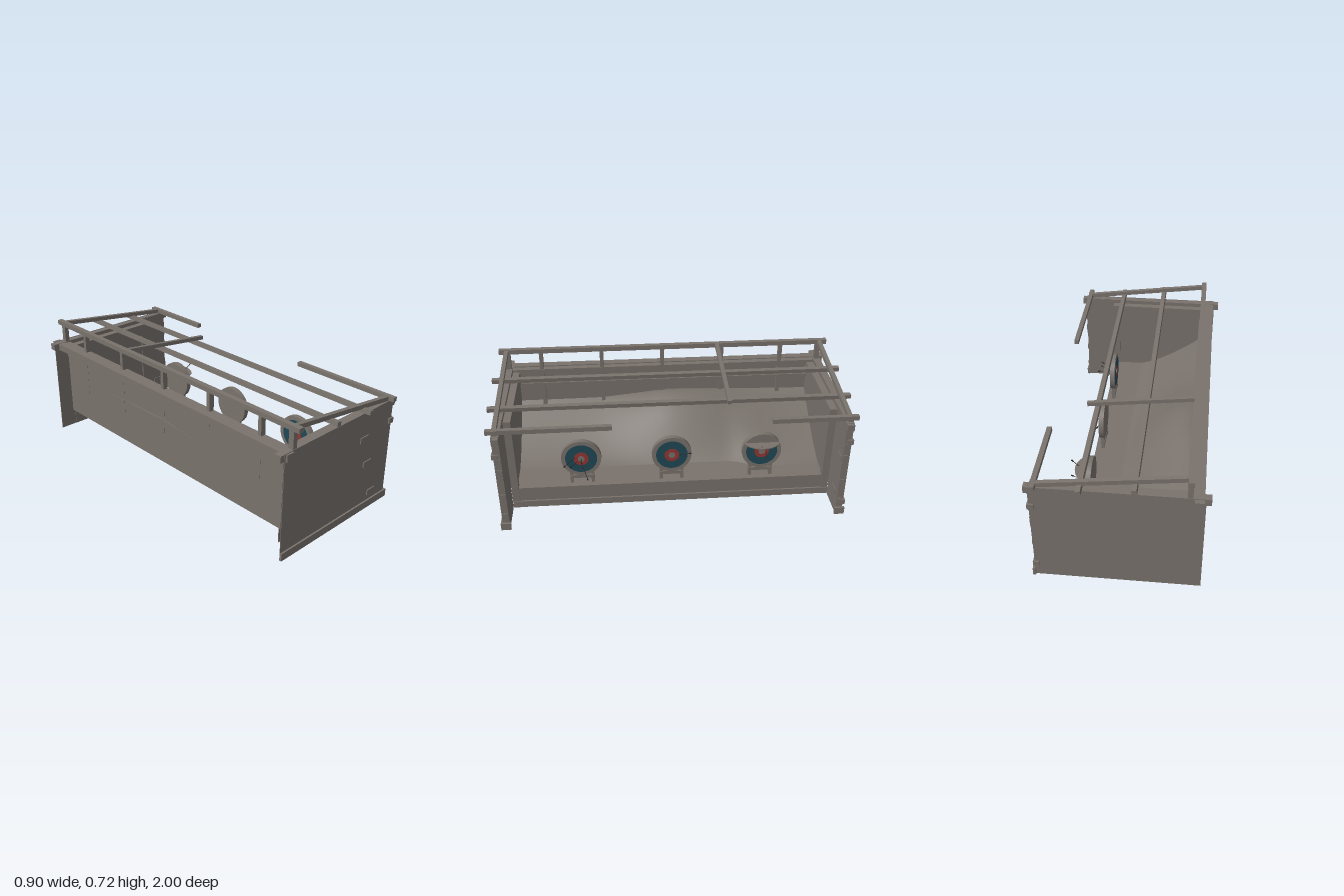
import * as THREE from 'three';

const mat = (name, color, double = false) => {
  const m = new THREE.MeshStandardMaterial({ color });
  m.name = name;
  if (double) m.side = THREE.DoubleSide;
  return m;
};

export function createModel() {
  const model = new THREE.Group();
  model.name = 'archeryRange';
  const wood = mat('weatheredGrey', 0x79726c, true);
  const blue = mat('targetBlue', 0x1f4856);
  const red = mat('targetRed', 0x933632);
  const dark = mat('arrowDark', 0x2b2927);

  const add = (name, geo, m = wood, parent = model) => {
    const mesh = new THREE.Mesh(geo, m);
    mesh.name = name;
    parent.add(mesh);
    return mesh;
  };
  // Box given by its limits on each axis
  const box = (name, x0, x1, y0, y1, z0, z1) => {
    const mesh = add(name, new THREE.BoxGeometry(x1 - x0, y1 - y0, Math.abs(z1 - z0)));
    mesh.position.set((x0 + x1) / 2, (y0 + y1) / 2, (z0 + z1) / 2);
    return mesh;
  };
  // Square beam in the xy plane at depth z, from a to b
  const rafter = (name, ax, ay, bx, by, z, t) => {
    const mesh = add(name, new THREE.BoxGeometry(Math.hypot(bx - ax, by - ay), t, t));
    mesh.position.set((ax + bx) / 2, (ay + by) / 2, z);
    mesh.rotation.z = Math.atan2(by - ay, bx - ax);
  };

  // Hollow end walls: outer and inner skins, front edge, plates and posts
  for (const s of [1, -1]) {
    box('endWallSkin', -0.424, 0.427, 0, 0.6, s * 0.952, s * 0.955);
    box('endWallInnerSkin', 0.24, 0.427, 0, 0.6, s * 0.917, s * 0.92);
    box('endWallFrontEdge', 0.424, 0.427, 0, 0.6, s * 0.92, s * 0.952);
    box('endWallFoot', 0.425, 0.44, 0, 0.043, s * 0.91, s * 0.965);
    box('endWallPlate', -0.45, 0.448, 0.56, 0.598, s * 0.915, s * 0.953);
    box('innerWall', -0.36, 0.2, 0.04, 0.5, s * 0.883, s * 0.886);
    box('innerPost', 0.2, 0.24, 0, 0.575, s * 0.875, s * 0.916);
    box('innerPlate', -0.36, 0.24, 0.5, 0.575, s * 0.875, s * 0.916);
    for (const [y, h] of [[0.45, 0.03], [0.365, 0.06], [0.22, 0.03], [0.09, 0.03]])
      box('edgeStone', 0.41, 0.432, y - h / 2, y + h / 2, s * 0.918, s * 0.945);
    box('frontRailBlock', 0.383, 0.412, 0.598, 0.628, s * 0.925, s * 0.955);
    rafter('endRafter', -0.35, 0.71, 0.4, 0.612, s * 0.94, 0.024);
  }
  box('frontWallBase', -0.424, 0.44, 0, 0.043, 0.955, 0.965);

  // Loose stones standing slightly proud of the walls
  for (const [x, y, z] of [
    [0.195, 0.447, 0.957], [0.24, 0.287, 0.957], [0.3, 0.09, 0.957],
    [0.38, 0.36, -0.917], [0.36, 0.12, -0.917],
  ]) box('faceStone', x - 0.032, x + 0.032, y - 0.016, y + 0.016, z - 0.004, z + 0.004);
  for (const [y, s] of [[0.48, 1], [0.48, -1], [0.08, -1]])
    box('cornerStone', 0.4, 0.435, y - 0.015, y + 0.015, s * 0.93, s * 0.964);

  // Back wall, its rails and the posts carrying the high roof rail
  box('backWall', -0.365, -0.36, 0.13, 0.58, -0.9, 0.9);
  box('backTopRail', -0.417, -0.37, 0.557, 0.596, -0.98, 0.965);
  box('backInnerRail', -0.372, -0.335, 0.56, 0.59, -0.915, 0.915);
  box('backShelf', -0.36, -0.33, 0.48, 0.5, -0.885, 0.885);
  for (const z of [0.74, 0.38, 0.015, -0.345, -0.705])
    box('backPost', -0.366, -0.337, 0.3, 0.7, z - 0.011, z + 0.011);
  for (const z of [0.935, -0.935])
    box('cornerPost', -0.362, -0.336, 0.59, 0.7, z - 0.015, z + 0.015);

  // Open roof frame
  box('highRail', -0.366, -0.337, 0.695, 0.722, -0.985, 0.985);
  for (const [x, y] of [[-0.09, 0.654], [0.174, 0.622]]) {
    const purlin = box('purlin', x - 0.013, x + 0.013, y - 0.012, y + 0.012, -1, 1);
    purlin.rotation.z = -0.13;
  }
  rafter('brokenRafter', -0.35, 0.711, 0.23, 0.639, -0.315, 0.022);
  box('brokenRailLeft', 0.384, 0.41, 0.604, 0.629, 0.33, 0.985);
  box('brokenRailRight', 0.384, 0.41, 0.604, 0.629, -0.52, -0.985);

  // Low front sill: stepped boards and the ledge behind them
  box('sillBase', 0.225, 0.245, 0.005, 0.045, -0.915, 0.915);
  box('sillBoard', 0.225, 0.235, 0.045, 0.13, -0.885, 0.885);
  box('sillLedge', 0.04, 0.235, 0.126, 0.131, -0.885, 0.885);

  // Earth bank: a sheet sloping from the back wall to the ledge, swollen mid-way
  const { lerp, clamp, smoothstep } = THREE.MathUtils;
  const bank = new THREE.PlaneGeometry(1, 1, 20, 40);
  const p = bank.attributes.position;
  for (let i = 0; i < p.count; i++) {
    const u = p.getX(i) + 0.5;
    const z = -p.getY(i) * 1.78;
    const swell = Math.exp(-(((z + 0.1) / (z > -0.1 ? 0.38 : 0.45)) ** 2));
    const top = z > 0 ? lerp(0.405, 0.372, clamp(z / 0.38, 0, 1)) : lerp(0.405, 0.39, -z / 0.89);
    const front = lerp(0.12, 0.055, smoothstep(z, -0.56, -0.34));
    const fall = Math.pow(1 - u, 1.4);
    const y = 0.132 + (top - 0.132) * fall + swell * 0.115 * Math.sin(Math.PI * Math.pow(u, 0.78));
    p.setXYZ(i, lerp(-0.367, front, u), y, z);
  }
  bank.computeVertexNormals();
  add('earthBank', bank);

  // Targets facing +x on little stands
  const disc = (name, r, x0, x1, m, g) => {
    const geo = new THREE.CylinderGeometry(r, r, Math.abs(x1 - x0), 28).rotateZ(-Math.PI / 2);
    add(name, geo, m, g).position.x = (x0 + x1) / 2;
  };
  // Painted rings on one side of a target (s = 1 front, -1 back)
  const paint = (g, s, x) => {
    disc('blueRing', 0.09, s * x, s * (x + 0.002), blue, g);
    disc('redRing', 0.042, s * (x + 0.002), s * (x + 0.0035), red, g);
    disc('bullseye', 0.019, s * (x + 0.0035), s * (x + 0.005), wood, g);
  };
  const targets = [0.512, 0, -0.515].map((z) => {
    const g = new THREE.Group();
    g.name = 'target';
    g.position.set(0.195, 0.3, z);
    model.add(g);
    disc('targetBacking', 0.113, -0.014, 0.015, wood, g);
    paint(g, 1, 0.015);
    for (const s of [1, -1])
      box('standLeg', 0.183, 0.203, 0.13, 0.23, z + s * 0.06 - 0.009, z + s * 0.06 + 0.009);
    box('standBar', 0.18, 0.206, 0.165, 0.185, z - 0.068, z + 0.068);
    return g;
  });
  paint(targets[0], -1, 0.014);

  // Torn upper part of the last target: bare cap and a flap folded forward
  const a = Math.asin(0.055 / 0.113);
  const cap = new THREE.Shape();
  cap.absarc(0, 0, 0.1125, a, Math.PI - a, false);
  const capGeo = new THREE.ExtrudeGeometry(cap, { depth: 0.004, bevelEnabled: false, curveSegments: 20 });
  add('bareCap', capGeo.rotateY(Math.PI / 2), wood, targets[2]).position.x = 0.015;
  const flap = new THREE.Shape();
  flap.absellipse(0, 0, 0.104, 0.083, 0, Math.PI, false);
  const flapGeo = new THREE.ExtrudeGeometry(flap, { depth: 0.006, bevelEnabled: false, curveSegments: 20 });
  flapGeo.rotateX(Math.PI / 2).rotateY(Math.PI / 2);
  add('foldedFlap', flapGeo, wood, targets[2]).position.set(0, 0.059, 0);

  // Arrows: shaft plus a small fletching
  const arrow = (target, from, to) => {
    const start = new THREE.Vector3(...from), end = new THREE.Vector3(...to);
    const dir = end.clone().sub(start);
    const g = new THREE.Group();
    g.name = 'arrow';
    g.position.copy(start);
    g.quaternion.setFromUnitVectors(new THREE.Vector3(0, 1, 0), dir.clone().normalize());
    const len = dir.length();
    add('shaft', new THREE.CylinderGeometry(0.0018, 0.0018, len, 5), dark, g).position.y = len / 2;
    add('fletching', new THREE.BoxGeometry(0.008, 0.014, 0.002), dark, g).position.y = len - 0.008;
    add('fletching', new THREE.BoxGeometry(0.002, 0.014, 0.008), dark, g).position.y = len - 0.008;
    targets[target].add(g);
  };
  arrow(0, [0.012, 0, 0], [0.105, -0.003, -0.01]);
  arrow(0, [0.012, -0.02, 0.02], [0.095, -0.005, 0.06]);
  arrow(0, [0.012, 0, 0.01], [0.09, -0.1, -0.035]);
  arrow(0, [0.012, 0.01, 0.03], [0.095, 0.0, 0.095]);
  arrow(1, [0.017, -0.005, -0.04], [0.025, 0.012, -0.11]);
  arrow(2, [0.012, 0.02, 0], [0.105, 0.09, 0.02]);
  arrow(2, [0.012, -0.01, -0.03], [0.105, 0.01, -0.012]);
  return model;
}
